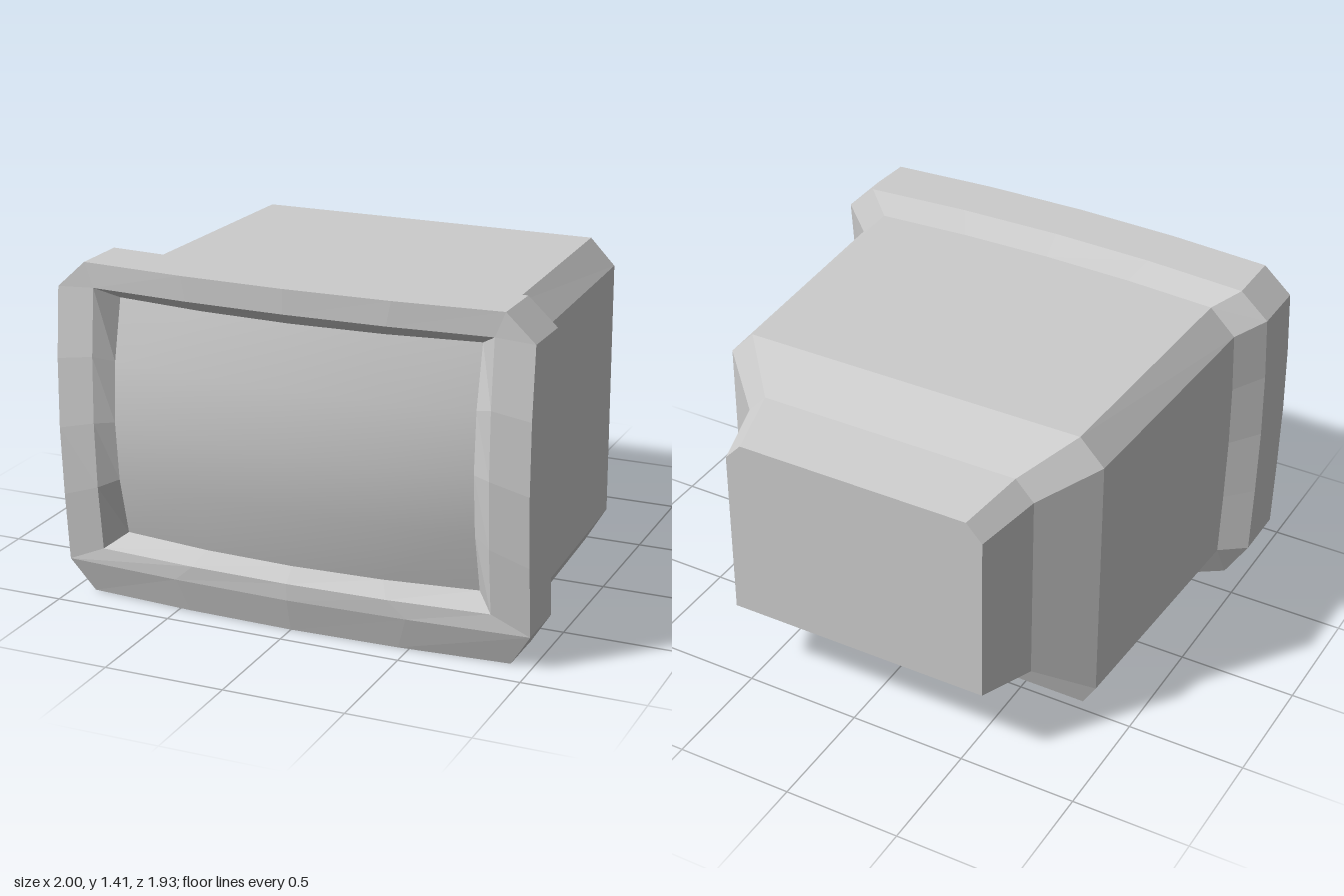
import * as THREE from 'three';

const SEG = 4;      // divisions along each straight side
const MID_Y = 0.77;

// shallow pillow curve shared by the front and back edges of the frame
function bulge(x, y) {
  const tx = Math.min(1, Math.abs(x) / 0.88);
  const ty = Math.min(1, Math.abs(y - MID_Y) / 0.55);
  return 0.045 * (1 - tx * tx) + 0.04 * (1 - ty * ty);
}
const glassZ = (x, y) => 0.965 - 0.11 * x * x - 0.32 * (y - 0.765) ** 2;

// chamfered cross-section, counter-clockwise from the front:
// half widths of bottom, side and top; heights of bottom, lower chamfer, upper chamfer, top
function section([bx, sx, tx], [y0, yl, yh, yt], zAt) {
  const sides = [
    [-bx, y0, bx, y0], [sx, yl, sx, yh],
    [tx, yt, -tx, yt], [-sx, yh, -sx, yl],
  ];
  const pts = [];
  for (const [ax, ay, cx, cy] of sides) {
    for (let i = 0; i <= SEG; i++) {
      const t = i / SEG;
      const x = ax + (cx - ax) * t, y = ay + (cy - ay) * t;
      pts.push(new THREE.Vector3(x, y, zAt(x, y)));
    }
  }
  return pts;
}

// skin a run of sections, listed from back to front
function loft(name, loops) {
  const pos = [];
  const tri = (a, b, c) => {
    const area = b.clone().sub(a).cross(c.clone().sub(a)).length();
    if (area > 1e-9) for (const p of [a, b, c]) pos.push(p.x, p.y, p.z);
  };
  for (let k = 0; k + 1 < loops.length; k++) {
    const A = loops[k], B = loops[k + 1], n = A.length;
    for (let i = 0; i < n; i++) {
      const j = (i + 1) % n;
      tri(A[i], A[j], B[j]);
      tri(A[i], B[j], B[i]);
    }
  }
  const geo = new THREE.BufferGeometry();
  geo.setAttribute('position', new THREE.Float32BufferAttribute(pos, 3));
  geo.computeVertexNormals();
  const mesh = new THREE.Mesh(geo, new THREE.MeshStandardMaterial({ color: 0xcccccc, flatShading: true }));
  mesh.name = name;
  return mesh;
}

export function createModel() {
  const group = new THREE.Group();
  group.name = 'television';
  const flat = (z) => () => z;
  // the strip below the lower chamfer leans inward
  const lean = (z, d) => (x, y) => z + d * Math.max(0, 1 - y / 0.14);
  const curved = (z, d) => (x, y) => lean(z, d)(x, y) + bulge(x, y);

  // narrow rear housing, closed at the back
  const neckFront = section([0.645, 0.645, 0.565], [0.285, 0.285, 1.115, 1.2], flat(-0.69));
  group.add(loft('rearHousing', [
    section([0, 0, 0], [0.74, 0.74, 0.74, 0.74], flat(-0.965)),
    section([0.575, 0.575, 0.505], [0.335, 0.335, 1.075, 1.15], flat(-0.965)),
    neckFront,
  ]));

  // main cabinet with sloping shoulders
  const bodyFront = section([0.81, 0.89, 0.78], [0, 0.14, 1.23, 1.34], curved(0.575, -0.022));
  group.add(loft('cabinet', [
    neckFront,
    section([0.845, 0.845, 0.74], [0.14, 0.14, 1.23, 1.34], flat(-0.505)),
    section([0.765, 0.845, 0.74], [0, 0.14, 1.23, 1.34], lean(-0.505, 0.05)),
    bodyFront,
  ]));

  // front frame: back chamfer, outer wall, face, then the bevel down to the glass
  const outerW = [0.91, 1, 0.88], outerY = [0, 0.14, 1.3, 1.41];
  group.add(loft('frontFrame', [
    bodyFront,
    section(outerW, outerY, curved(0.657, -0.03)),
    section(outerW, outerY, curved(0.895, -0.038)),
    section([1, 1, 0.88], [0.14, 0.14, 1.3, 1.41], curved(0.895, 0)),
    section([0.84, 0.84, 0.84], [0.21, 0.21, 1.31, 1.31], curved(0.895, 0)),
    section([0.765, 0.765, 0.765], [0.265, 0.265, 1.26, 1.26], glassZ),
  ]));

  // bulging glass
  const geo = new THREE.PlaneGeometry(1.53, 0.995, SEG, SEG);
  geo.translate(0, 0.7625, 0);
  const p = geo.attributes.position;
  for (let i = 0; i < p.count; i++) p.setZ(i, glassZ(p.getX(i), p.getY(i)));
  geo.computeVertexNormals();
  const screen = new THREE.Mesh(geo, new THREE.MeshStandardMaterial({ color: 0xcccccc }));
  screen.name = 'screen';
  group.add(screen);

  return group;
}
